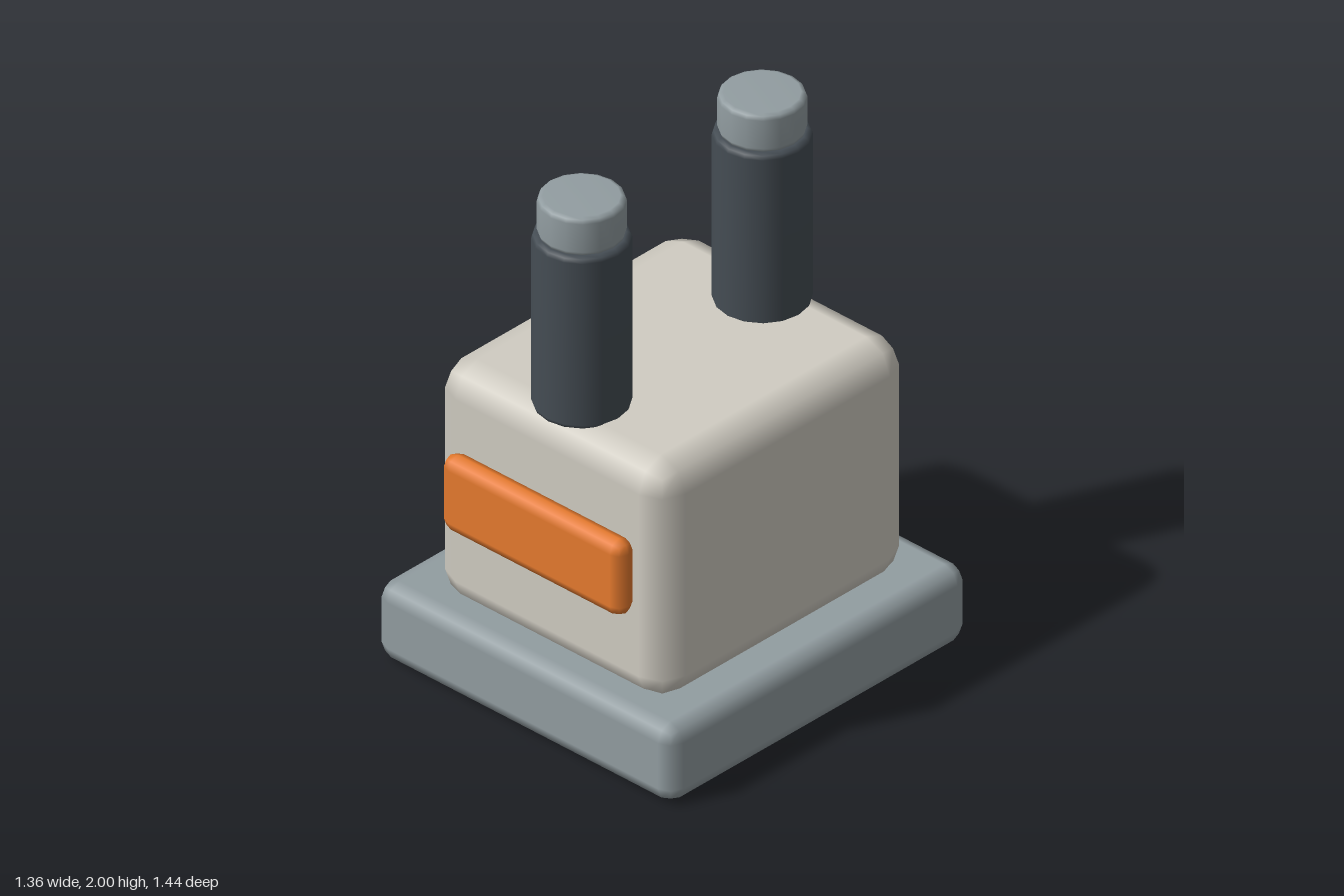
import * as THREE from 'three';
import { RoundedBoxGeometry } from 'three/addons/geometries/RoundedBoxGeometry.js';

const paint = (color) => new THREE.MeshStandardMaterial({ color });

export function createModel() {
  const group = new THREE.Group();
  const steel = paint(0x929da1);
  const shell = paint(0xd0ccc2);
  const dark = paint(0x454d54);
  const orange = paint(0xe67a2e);

  const add = (name, geometry, material, x, y, z) => {
    const mesh = new THREE.Mesh(geometry, material);
    mesh.name = name;
    mesh.position.set(x, y, z);
    group.add(mesh);
  };

  // Rounded block given by its size, vertical range and edge radius
  const block = (name, w, d, y0, y1, r, material, z = 0) =>
    add(name, new RoundedBoxGeometry(w, y1 - y0, d, 1, r), material, 0, (y0 + y1) / 2, z);

  // Upright cylinder with softened rims
  const post = (name, r, y0, y1, b, material, z) => {
    const h = y1 - y0;
    const k = b * 0.29;
    const profile = [
      [0, 0], [r - b, 0], [r - k, k], [r, b],
      [r, h - b], [r - k, h - k], [r - b, h], [0, h],
    ].map(([x, y]) => new THREE.Vector2(x, y));
    add(name, new THREE.LatheGeometry(profile, 16), material, 0, y0, z);
  };

  block('base', 1.36, 1.44, 0, 0.3, 0.06, steel);
  block('body', 1.06, 1.205, 0.25, 1.19, 0.11, shell);
  block('frontPanel', 0.83, 0.09, 0.61, 0.905, 0.0449, orange, 0.645);

  // Front and back terminals, each with a cap
  for (const [side, z] of [['front', 0.435], ['back', -0.435]]) {
    post(side + 'Terminal', 0.168, 1.175, 1.855, 0.02, dark, z);
    post(side + 'TerminalCap', 0.15, 1.85, 2, 0.02, steel, z);
  }
  return group;
}
